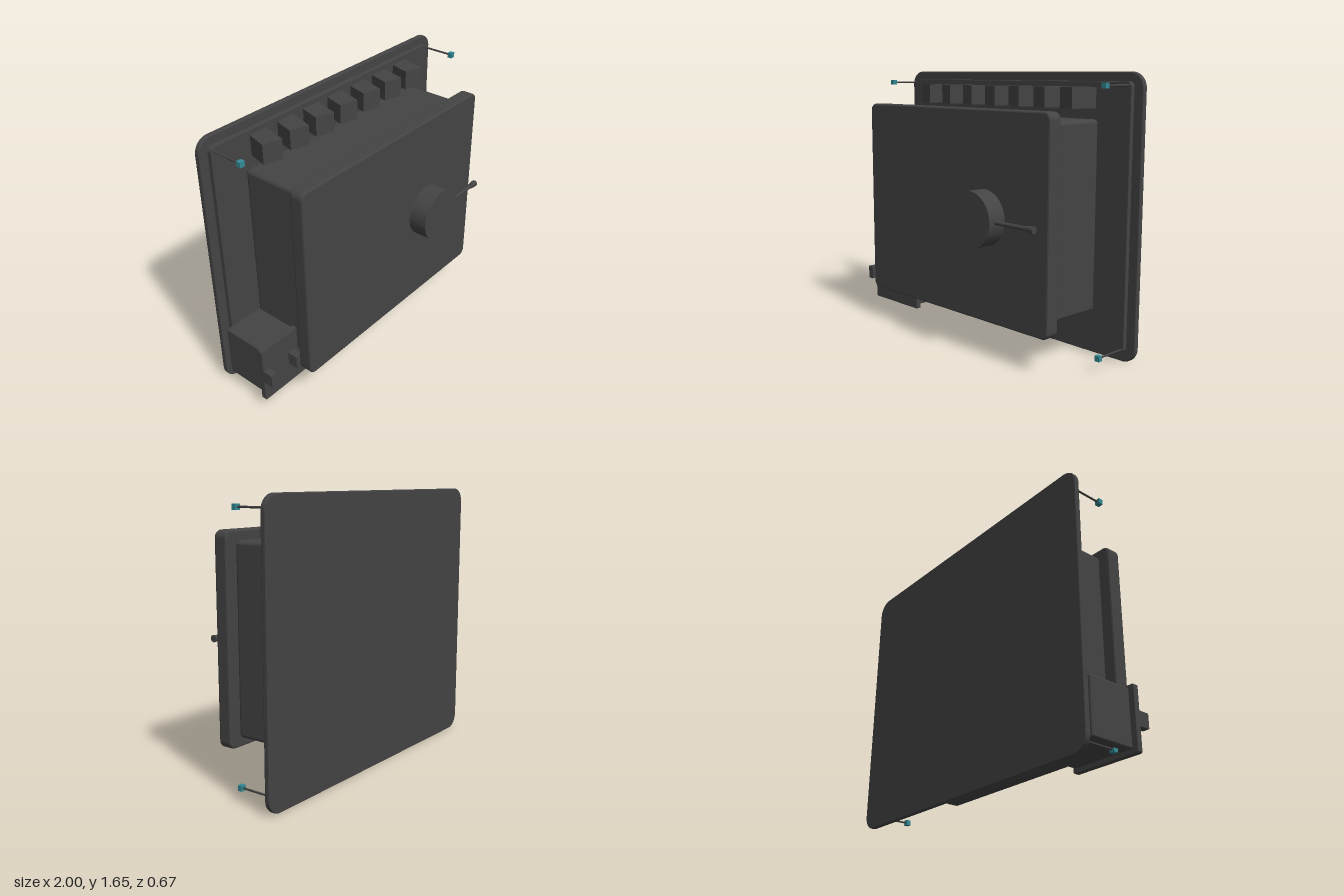
import * as THREE from 'three';
import { RoundedBoxGeometry } from 'three/addons/geometries/RoundedBoxGeometry.js';

const mat = (name, color) => {
  const m = new THREE.MeshStandardMaterial({ color });
  m.name = name;
  return m;
};

export function createModel() {
  const group = new THREE.Group();
  const grey = mat('dark grey', 0x444444);
  const teal = mat('teal', 0x338a96);
  const gold = mat('dull gold', 0x8b6b1c);

  const add = (name, geometry, material, x = 0, y = 0, z = 0) => {
    const mesh = new THREE.Mesh(geometry, material);
    mesh.name = name;
    mesh.position.set(x, y, z);
    group.add(mesh);
    return mesh;
  };

  // box given by its limits on each axis
  const box = (name, material, x0, x1, y0, y1, z0, z1) =>
    add(name, new THREE.BoxGeometry(x1 - x0, y1 - y0, z1 - z0), material,
      (x0 + x1) / 2, (y0 + y1) / 2, (z0 + z1) / 2);

  // upright slab with rounded corners and a slim bevel, given by its limits
  const slab = (name, x0, x1, y0, y1, z0, z1, radius, bevel) => {
    const w = (x1 - x0) / 2 - bevel, h = (y1 - y0) / 2 - bevel, r = radius - bevel;
    const s = new THREE.Shape();
    s.absarc(w - r, h - r, r, 0, Math.PI / 2);
    s.absarc(-w + r, h - r, r, Math.PI / 2, Math.PI);
    s.absarc(-w + r, -h + r, r, Math.PI, Math.PI * 1.5);
    s.absarc(w - r, -h + r, r, Math.PI * 1.5, Math.PI * 2);
    const g = new THREE.ExtrudeGeometry(s, {
      depth: z1 - z0 - 2 * bevel, bevelEnabled: true, bevelSize: bevel,
      bevelThickness: bevel, bevelSegments: 2, curveSegments: 8,
    });
    return add(name, g, grey, (x0 + x1) / 2, (y0 + y1) / 2, z0 + bevel);
  };

  // back plate and its raised panel
  slab('backPlate', -0.988, 1, 0, 1.655, -0.335, -0.303, 0.09, 0.006);
  slab('backPanel', -0.93, 0.94, 0.057, 1.602, -0.305, -0.275, 0.03, 0.003);

  // main housing and front cover
  add('housing', new RoundedBoxGeometry(1.45, 1.12, 0.4, 3, 0.025), grey, 0.005, 0.83, -0.07);
  slab('frontCover', -0.787, 0.797, 0.21, 1.448, 0.13, 0.217, 0.045, 0.01);

  // knob with lever
  const knob = add('knob', new THREE.CylinderGeometry(0.165, 0.165, 0.12, 48), grey, 0.302, 0.83, 0.275);
  knob.rotation.x = Math.PI / 2;
  const lever = add('lever', new THREE.CylinderGeometry(0.013, 0.013, 0.28, 16), grey, 0.58, 0.83, 0.285);
  lever.rotation.z = Math.PI / 2;
  const tip = add('leverTip', new THREE.CylinderGeometry(0.021, 0.017, 0.05, 16), grey, 0.73, 0.83, 0.285);
  tip.rotation.z = -Math.PI / 2;

  // row of angled blocks above the housing
  for (let i = 0; i < 7; i++) {
    const block = add('angledBlock', new THREE.BoxGeometry(0.12, 0.12, 0.165), grey,
      -0.615 + i * 0.206, 1.51, -0.209);
    block.rotation.y = -Math.PI / 12;
  }

  // corner pins with cube heads
  for (const x of [-0.915, 0.923]) {
    for (const y of [0.08, 1.582]) {
      const pin = add('cornerPin', new THREE.CylinderGeometry(0.006, 0.006, 0.21, 10), grey, x, y, -0.175);
      pin.rotation.x = Math.PI / 2;
      add('pinHead', new THREE.BoxGeometry(0.032, 0.032, 0.028), teal, x, y, -0.07);
    }
  }

  // side latch: box, face plate and two tabs
  add('latchBox', new RoundedBoxGeometry(0.41, 0.335, 0.285, 2, 0.012), grey, -0.77, 0.2525, -0.133);
  slab('latchPlate', -1, -0.542, 0.065, 0.44, 0.015, 0.048, 0.012, 0.003);
  box('latchTab', grey, -1, -0.957, 0.21, 0.295, 0.045, 0.113);
  box('latchTab', grey, -0.797, -0.752, 0.21, 0.295, 0.045, 0.113);

  // slanted rod leaving the latch
  const dx = 0.72, dz = -0.175;
  const rod = add('latchRod', new THREE.BoxGeometry(Math.hypot(dx, dz), 0.026, 0.02), gold,
    -0.21, 0.134, -0.148);
  rod.rotation.y = -Math.atan2(dz, dx);

  return group;
}
